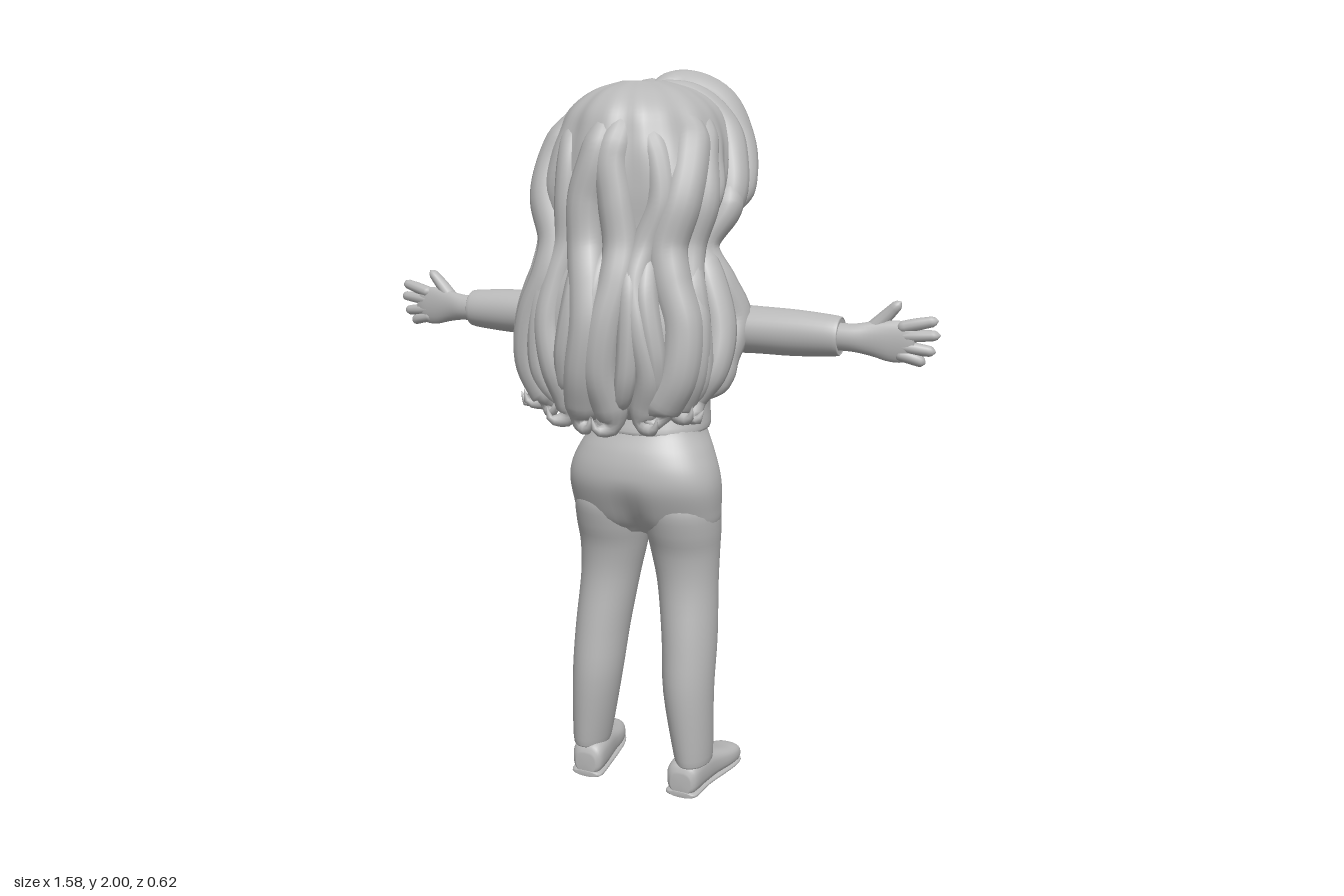
import * as THREE from 'three';
import { mergeVertices } from 'three/addons/utils/BufferGeometryUtils.js';

const clay = new THREE.MeshStandardMaterial({ color: 0xb8b8b8 });
clay.name = 'clay grey';

// Smooth interpolation through rows of numbers, t in 0..1
function sample(rows, t) {
  const f = Math.min(t, 0.99999) * (rows.length - 1), i = Math.floor(f), u = f - i;
  const at = (k) => rows[Math.max(0, Math.min(rows.length - 1, k))];
  return rows[0].map((_, c) => {
    const [a, b, d, e] = [at(i - 1)[c], at(i)[c], at(i + 1)[c], at(i + 2)[c]];
    return b + 0.5 * u * (d - a + u * (2 * a - 5 * b + 4 * d - e + u * (3 * (b - d) + e - a)));
  });
}

// Stacked rings: each row is [y, centre x, half width, z front, z back]
function loft(rows, { n = 32, sub = 4, power = 1, ripple = () => 1 } = {}) {
  const pos = [], idx = [], m = (rows.length - 1) * sub;
  const bend = (v) => Math.sign(v) * Math.abs(v) ** power;
  for (let i = 0; i <= m; i++) {
    const [y, cx, rx, zf, zb] = sample(rows, i / m);
    for (let j = 0; j < n; j++) {
      const a = (j / n) * Math.PI * 2, k = ripple(a, y);
      pos.push(cx + rx * k * bend(Math.cos(a)), y, (zf + zb) / 2 + ((zb - zf) / 2) * k * bend(Math.sin(a)));
    }
  }
  for (let i = 0; i < m; i++) for (let j = 0; j < n; j++) {
    const p = i * n + j, q = i * n + ((j + 1) % n);
    idx.push(p, p + n, q, q, p + n, q + n);
  }
  const ends = [rows[0], rows[rows.length - 1]], c = (m + 1) * n;
  ends.forEach((r) => pos.push(r[1], r[0], (r[3] + r[4]) / 2));
  for (let j = 0; j < n; j++) {
    const k = (j + 1) % n;
    idx.push(c, j, k, c + 1, m * n + k, m * n + j);
  }
  const g = new THREE.BufferGeometry();
  g.setAttribute('position', new THREE.Float32BufferAttribute(pos, 3));
  g.setIndex(idx);
  g.computeVertexNormals();
  return g;
}

// Tapered tube: each point is [x, y, z, radius]
function sweep(points, { n = 10, steps = 32 } = {}) {
  const curve = new THREE.CatmullRomCurve3(points.map((p) => new THREE.Vector3(p[0], p[1], p[2])));
  const tube = new THREE.TubeGeometry(curve, steps, 1, n);
  const pos = tube.attributes.position, v = new THREE.Vector3();
  for (let i = 0; i < pos.count; i++) {
    const u = Math.floor(i / (n + 1)) / steps, c = curve.getPointAt(u);
    const round = Math.max(0.02, Math.sqrt(Math.min(1, u * 8, (1 - u) * 8)));
    const r = sample(points, curve.getUtoTmapping(u))[3] * round;
    v.fromBufferAttribute(pos, i).sub(c).multiplyScalar(r).add(c);
    pos.setXYZ(i, v.x, v.y, v.z);
  }
  tube.deleteAttribute('uv');
  tube.deleteAttribute('normal');
  const g = mergeVertices(tube, 1e-5);
  g.computeVertexNormals();
  return g;
}

function mirrored(geo) {
  const g = geo.index ? geo.clone() : mergeVertices(geo);
  g.scale(-1, 1, 1);
  const a = g.index.array;
  for (let i = 0; i < a.length; i += 3) [a[i], a[i + 1]] = [a[i + 1], a[i]];
  g.computeVertexNormals();
  return g;
}

const bump = (x, y) => Math.exp(-x * x - y * y);

export function createModel() {
  const model = new THREE.Group();
  const add = (name, geo) => {
    const mesh = new THREE.Mesh(geo, clay);
    mesh.name = name;
    model.add(mesh);
  };
  const pair = (name, geo) => {
    add(name + 'Left', geo);
    add(name + 'Right', mirrored(geo));
  };

  // Trousers: legs end inside one hip shape that is pinched along the middle
  pair('trouserLeg', loft([
    [0.09, 0.16, 0.045, -0.09, 0.04], [0.11, 0.16, 0.053, -0.1, 0.048], [0.3, 0.143, 0.07, -0.11, 0.058],
    [0.45, 0.135, 0.077, -0.14, 0.042], [0.6, 0.12, 0.085, -0.16, 0.02], [0.7, 0.11, 0.097, -0.17, 0.025],
    [0.77, 0.107, 0.105, -0.172, 0.045], [0.84, 0.105, 0.104, -0.168, 0.058], [0.9, 0.1, 0.08, -0.14, 0.04]]));
  add('hips', loft([
    [0.755, 0, 0.17, -0.13, 0.01], [0.79, 0, 0.208, -0.167, 0.045], [0.84, 0, 0.216, -0.174, 0.07],
    [0.9, 0, 0.218, -0.173, 0.09], [0.95, 0, 0.208, -0.174, 0.09], [1.0, 0, 0.186, -0.183, 0.075],
    [1.05, 0, 0.158, -0.195, 0.048], [1.1, 0, 0.145, -0.2, 0.03]], {
    n: 64, sub: 6, power: 0.86,
    ripple: (a, y) => 1 - Math.exp(-((Math.cos(a) / 0.16) ** 2)) * 0.3 * Math.min(1, Math.max(0, (0.93 - y) / 0.16)) ** 1.5 }));

  // Shoes, lofted heel to toe and laid along the ground
  const shoe = (rows) => loft(rows, { n: 28, power: 0.75 }).rotateX(-Math.PI / 2);
  pair('shoe', shoe([
    [-0.048, 0.15, 0.03, 0.01, 0.07], [-0.03, 0.15, 0.047, 0.004, 0.1], [0.03, 0.155, 0.05, 0.004, 0.105],
    [0.1, 0.165, 0.048, 0.004, 0.088], [0.17, 0.178, 0.052, 0.004, 0.07], [0.22, 0.19, 0.042, 0.004, 0.06],
    [0.235, 0.192, 0.02, 0.012, 0.04]]));
  pair('sole', shoe([
    [-0.05, 0.15, 0.03, 0, 0.016], [-0.035, 0.15, 0.048, 0, 0.018], [0.05, 0.157, 0.048, 0, 0.018],
    [0.17, 0.178, 0.053, 0, 0.018], [0.225, 0.19, 0.042, 0, 0.018], [0.238, 0.192, 0.02, 0, 0.016]]));

  // Shirt with placket and pointed collar
  add('shirt', loft([
    [1.045, 0, 0.15, -0.215, 0.045], [1.055, 0, 0.163, -0.232, 0.052], [1.12, 0, 0.156, -0.236, 0.03],
    [1.2, 0, 0.166, -0.24, 0.022], [1.28, 0, 0.176, -0.234, 0.03], [1.35, 0, 0.175, -0.208, 0.032],
    [1.4, 0, 0.145, -0.172, 0.02], [1.45, 0, 0.065, -0.13, -0.01]], { power: 0.92 }));
  add('placket', sweep([[0.01, 1.05, -0.232, 0.007], [0.01, 1.2, -0.238, 0.006], [0.01, 1.28, -0.232, 0.006],
    [0.01, 1.35, -0.206, 0.006], [0.01, 1.41, -0.163, 0.006]]));
  const flap = new THREE.Shape([[0.006, 0], [0.065, 0.03], [0.078, -0.01], [0.045, -0.07]].map((p) => new THREE.Vector2(...p)));
  pair('collarFlap', new THREE.ExtrudeGeometry(flap, { depth: 0.016, bevelEnabled: false })
    .rotateX(0.6).translate(0, 1.435, -0.162));
  add('collarBand', new THREE.TorusGeometry(0.058, 0.018, 10, 28).rotateX(Math.PI / 2).scale(1, 1.2, 1).translate(0, 1.44, -0.075));

  // Arms and hands, lofted outwards along x
  const along = (rows, o) => loft(rows, o).rotateZ(-Math.PI / 2).translate(0, 1.34, 0);
  pair('sleeve', along([
    [0.06, 0.03, 0.075, -0.14, 0.015], [0.14, 0.014, 0.077, -0.135, 0.015], [0.2, 0.003, 0.068, -0.124, 0.012],
    [0.3, 0, 0.062, -0.118, 0.01], [0.42, 0, 0.06, -0.108, 0.005], [0.53, 0, 0.052, -0.1, -0.002],
    [0.54, 0, 0.045, -0.092, -0.012]]));
  pair('palm', along([
    [0.5, 0, 0.037, -0.08, -0.015], [0.57, 0, 0.036, -0.075, -0.018], [0.62, 0, 0.044, -0.074, -0.028],
    [0.67, 0.003, 0.053, -0.074, -0.036], [0.71, 0.003, 0.05, -0.074, -0.042], [0.73, 0, 0.03, -0.068, -0.048]], { n: 20 }));
  const fingers = [[1.37, 0.785, 1.395], [1.35, 0.792, 1.358], [1.327, 0.782, 1.315], [1.307, 0.757, 1.284]];
  fingers.forEach(([y, x, tip], i) => pair('finger' + (i + 1), sweep([
    [0.68, y, -0.055, 0.016], [0.73, (y + tip) / 2, -0.06, 0.016], [x, tip, -0.068, 0.013]], { steps: 14 })));
  pair('thumb', sweep([[0.61, 1.355, -0.055, 0.02], [0.65, 1.395, -0.062, 0.018], [0.69, 1.438, -0.062, 0.013]], { steps: 14 }));

  // Head, with eye sockets, nose and lips shaped out of the face
  add('neck', new THREE.CylinderGeometry(0.052, 0.058, 0.18, 24).translate(0, 1.48, -0.07));
  const head = loft([
    [1.495, 0, 0.03, -0.2, -0.12], [1.515, 0, 0.07, -0.218, -0.07], [1.57, 0, 0.125, -0.222, 0.02],
    [1.64, 0, 0.16, -0.22, 0.08], [1.72, 0, 0.172, -0.22, 0.1], [1.8, 0, 0.165, -0.222, 0.09],
    [1.88, 0, 0.11, -0.17, 0.04]], { n: 96, sub: 10 });
  const hp = head.attributes.position;
  for (let i = 0; i < hp.count; i++) if (hp.getZ(i) < -0.08) {
    const x = hp.getX(i), y = hp.getY(i);
    hp.setZ(i, hp.getZ(i) + 0.016 * bump((Math.abs(x) - 0.07) / 0.04, (y - 1.685) / 0.035)
      - 0.026 * bump(x / 0.024, (y - 1.635) / 0.02)
      - 0.012 * bump(x / 0.035, (y - 1.59) / 0.009) - 0.01 * bump(x / 0.03, (y - 1.568) / 0.009));
  }
  head.computeVertexNormals();
  add('head', head);

  // Main hair mass, with broad soft strands
  const hairRows = [
    [1.13, 0, 0.16, 0.1, 0.21], [1.17, 0, 0.205, 0.07, 0.245], [1.25, 0, 0.25, 0.035, 0.272],
    [1.35, 0, 0.258, 0.005, 0.28], [1.45, 0, 0.235, 0, 0.265], [1.53, 0, 0.208, 0, 0.235], [1.6, 0, 0.225, -0.03, 0.218],
    [1.7, 0, 0.258, -0.09, 0.218], [1.78, 0, 0.24, -0.18, 0.215], [1.84, 0, 0.218, -0.25, 0.203],
    [1.9, 0, 0.185, -0.25, 0.178], [1.945, 0, 0.125, -0.21, 0.125], [1.968, 0, 0.05, -0.13, 0.05]];
  add('hairMass', loft(hairRows, { n: 96, sub: 5,
    ripple: (a, y) => 1 + 0.016 * Math.sin(9 * a + 1.5 * Math.sin(y * 9)) + 0.01 * Math.sin(17 * a - 3 * y) }));

  // Points on the mass at row position t and angle a, sunk inward by depth
  const onHair = (t, a, depth, r) => {
    const [y, , rx, zf, zb] = sample(hairRows, t);
    return [depth * rx * Math.sin(a), y, (zf + zb) / 2 + (depth * (zb - zf) / 2) * Math.cos(a), r];
  };
  // Long wavy locks of uneven width, sunk at the crown and ending in curls
  const angles = [-1.4, -1.0, -0.62, -0.18, 0.16, 0.58, 1.02, 1.42];
  angles.forEach((a0, i) => {
    const path = [], wide = 0.046 + 0.008 * Math.sin(i * 2.3), side = i % 2 ? 1 : -1;
    for (let k = 0; k <= 8; k++) {
      const a = a0 + 0.1 * Math.sin(k * 1.3 + i * 2.1);
      path.push(onHair(0.86 - k * 0.098, a, 0.83 + 0.013 * k, wide * (k < 2 ? 0.75 + 0.2 * k : 1)));
    }
    const [x, , z] = path[8], low = 1.108 + 0.03 * Math.abs(a0);
    path.push([x * 1.02, low, z + 0.005, 0.03], [x * 1.08 + side * 0.03, low - 0.004, z + 0.03, 0.019],
      [x * 1.08 + side * 0.04, low + 0.032, z + 0.035, 0.01]);
    add('backLock' + (i + 1), sweep(path, { n: 14, steps: 60 }));
  });
  // Short overlapping wisps with flicked ends over the lower hair
  for (let i = 0; i < 9; i++) {
    const a0 = (i - 4) * 0.36 + 0.06 * Math.sin(i * 5), s = i % 2 ? 1 : -1, drop = 0.05 * (i % 3) / 2;
    add('wisp' + (i + 1), sweep([
      onHair(0.47, a0, 0.88, 0.02), onHair(0.34, a0 + 0.06 * s, 0.96, 0.032), onHair(0.22 - drop, a0, 0.98, 0.03),
      onHair(0.13 - drop, a0 - 0.1 * s, 1.03, 0.02), onHair(0.12 - drop, a0 - 0.24 * s, 1.08, 0.008)], { steps: 28 }));
  }

  // Locks falling in front of the shoulders
  pair('shoulderLock', sweep([
    [0.22, 1.74, -0.06, 0.045], [0.232, 1.66, -0.03, 0.044], [0.19, 1.56, 0.01, 0.038], [0.228, 1.46, 0, 0.048],
    [0.258, 1.37, -0.02, 0.052], [0.25, 1.28, 0.03, 0.046], [0.255, 1.21, 0.06, 0.033], [0.225, 1.17, 0.07, 0.02]], { n: 12, steps: 48 }));
  pair('sideLock', sweep([
    [0.18, 1.58, 0.06, 0.035], [0.23, 1.48, 0.08, 0.045], [0.268, 1.36, 0.1, 0.045], [0.262, 1.26, 0.13, 0.04],
    [0.222, 1.18, 0.15, 0.03], [0.24, 1.14, 0.18, 0.02], [0.262, 1.17, 0.18, 0.01]], { n: 12, steps: 48 }));

  // Fringe swept from the parting around the face
  const fringe = (s, lift) => [
    [[-0.02, 1.92 + lift, -0.08, 0.04], [0.05 * s, 1.922 + lift, -0.19, 0.062], [0.12 * s, 1.885 + lift, -0.232, 0.064],
      [0.175 * s, 1.81, -0.225, 0.058], [0.21 * s, 1.74, -0.18, 0.05], [0.235 * s, 1.685, -0.11, 0.04], [0.245 * s, 1.63, -0.06, 0.018]],
    [[-0.02, 1.93 + lift, -0.02, 0.03], [0.1 * s, 1.9 + lift, -0.11, 0.05], [0.17 * s, 1.84, -0.13, 0.057],
      [0.212 * s, 1.76, -0.09, 0.054], [0.232 * s, 1.68, -0.05, 0.045], [0.22 * s, 1.59, 0, 0.02]],
    [[-0.02, 1.91 + lift, -0.15, 0.04], [0.03 * s, 1.905 + lift, -0.238, 0.055], [0.095 * s, 1.845, -0.248, 0.05],
      [0.15 * s, 1.775, -0.23, 0.038], [0.185 * s, 1.715, -0.18, 0.016]]];
  fringe(1, 0.012).forEach((p, i) => add('fringeLeft' + (i + 1), sweep(p, { n: 16, steps: 36 })));
  fringe(-1, -0.01).forEach((p, i) => add('fringeRight' + (i + 1), sweep(p, { n: 16, steps: 36 })));

  return model;
}
